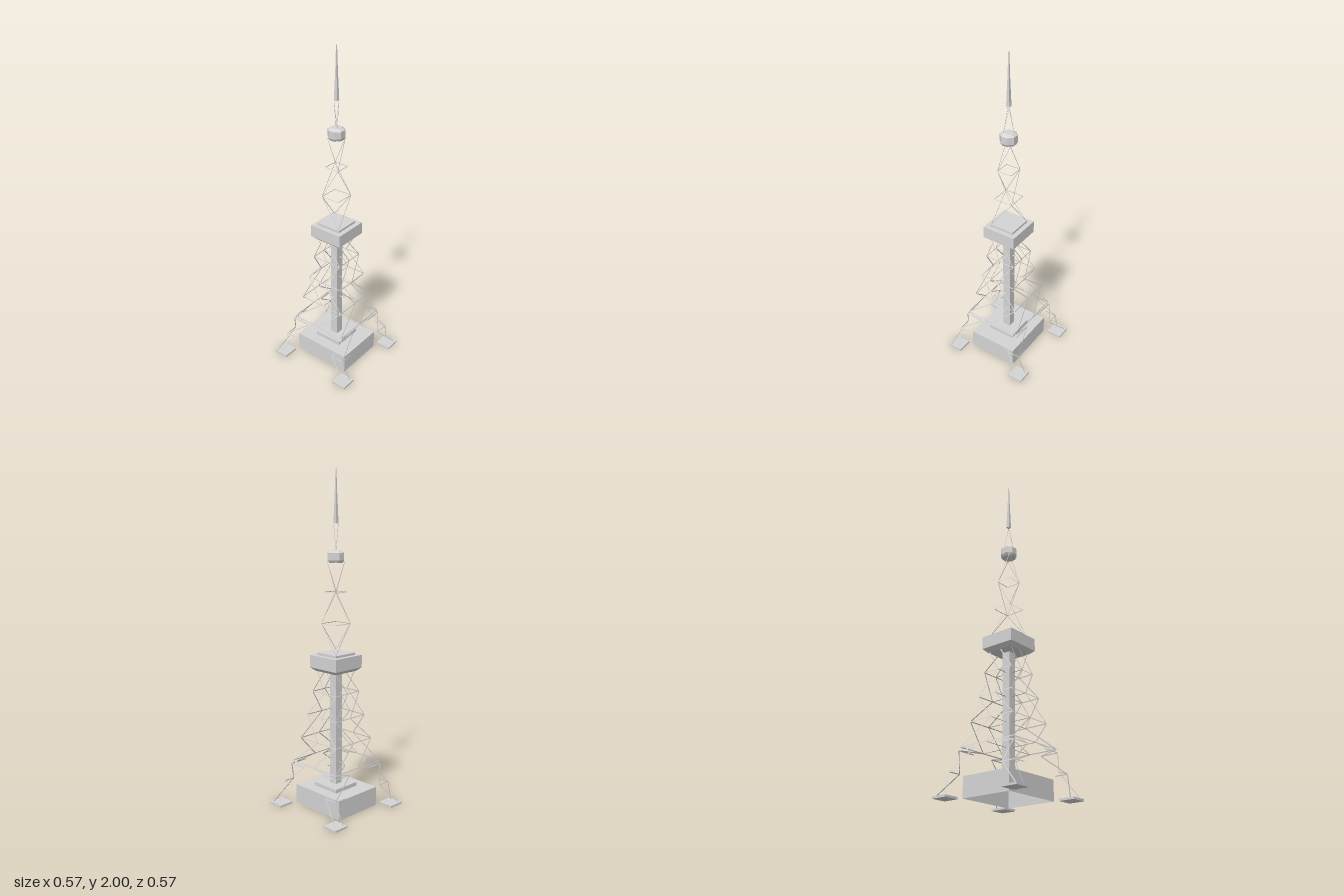
import * as THREE from 'three';
import { mergeGeometries } from 'three/addons/utils/BufferGeometryUtils.js';

const V = (x, y, z) => new THREE.Vector3(x, y, z);

// Flat steel strip from a to b, lying in the plane facing n
function strip(a, b, w, n = V(0, 0.25, 1)) {
  const along = b.clone().sub(a);
  const length = along.length();
  along.normalize();
  const across = n.clone().cross(along).normalize();
  const m = new THREE.Matrix4().makeBasis(along, across, along.clone().cross(across));
  m.setPosition(a.clone().add(b).multiplyScalar(0.5));
  return new THREE.PlaneGeometry(length, w).applyMatrix4(m);
}

export function createModel() {
  const model = new THREE.Group();
  const steel = new THREE.MeshStandardMaterial({ color: 0xd4d4d4, side: THREE.DoubleSide, flatShading: true });
  steel.name = 'pale grey';

  const add = (name, geometry) => {
    const mesh = new THREE.Mesh(geometry, steel);
    mesh.name = name;
    model.add(mesh);
    return mesh;
  };
  const block = (name, hx, hz, y0, y1) =>
    add(name, new THREE.BoxGeometry(hx * 2, y1 - y0, hz * 2).translate(0, (y0 + y1) / 2, 0));
  // Square tapering prism given half widths
  const taper = (name, low, high, y0, y1) =>
    add(name, new THREE.CylinderGeometry(high * Math.SQRT2, low * Math.SQRT2, y1 - y0, 4)
      .rotateY(Math.PI / 4).translate(0, (y0 + y1) / 2, 0));
  // Build the strips of each of the four sides and turn them into place
  const fourSides = (name, makeStrips) => {
    add(name, mergeGeometries([0, 1, 2, 3].map(k => mergeGeometries(makeStrips(k)).rotateY(k * Math.PI / 2))));
  };

  // Base building, open underneath
  const base = block('baseBuilding', 0.187, 0.158, 0, 0.117);
  const index = Array.from(base.geometry.index.array);
  index.splice(18, 6);
  base.geometry.setIndex(index);
  block('plinth', 0.09, 0.09, 0.117, 0.14);
  block('liftShaft', 0.025, 0.025, 0.14, 0.84);

  // Legs and tower: [height, outer corner, inner end]; the legs join at 0.28
  const stages = [
    [0.012, 0.27, 0.21], [0.143, 0.225, 0.145], [0.258, 0.19, 0.075], [0.278, 0.185, 0],
    [0.422, 0.149, 0], [0.568, 0.12, 0], [0.712, 0.097, 0], [0.845, 0.078, 0],
  ];
  fourSides('towerLattice', () => {
    const parts = [];
    stages.forEach(([y, c, a], i) => {
      const last = i === stages.length - 1;
      for (const s of [-1, 1]) {
        if (i > 0 && !last) parts.push(strip(V(s * c, y, c), V(s * a, y, c), 0.006));
        if (last) continue;
        // One brace per bay, zigzagging up between corner and inner end
        const [y2, c2, a2] = stages[i + 1];
        const fromCorner = (i % 2 === 0) === (s > 0);
        parts.push(strip(V(s * (fromCorner ? c : a), y, c), V(s * (fromCorner ? a2 : c2), y2, c2), 0.006));
      }
      // Tie from the ring to the shaft
      if (i > 2 && !last) parts.push(strip(V(0, y, c), V(0, y, 0.025), 0.007, V(0, 1, 0)));
    });
    return parts;
  });

  // Footing pads
  for (const sx of [-1, 1]) {
    for (const sz of [-1, 1]) {
      block('footingPad', 0.0475, 0.0475, 0, 0.012).position.set(sx * 0.237, 0, sz * 0.237);
    }
  }

  // Main observation deck
  taper('deckUnderside', 0.085, 0.108, 0.837, 0.858);
  block('observationDeck', 0.108, 0.108, 0.858, 0.933);
  block('deckRoof', 0.079, 0.079, 0.933, 0.947);

  // Mast lattice: one zigzag brace per side, alternating round the corners
  const mast = (name, levels, w) => fourSides(name, k => {
    const parts = [];
    levels.forEach(([y, h], i) => {
      if (i > 0) parts.push(strip(V(-h, y, h), V(h, y, h), w));
      if (i === levels.length - 1) return;
      const [y2, h2] = levels[i + 1];
      const s = (k + i) % 2 === 0 ? 1 : -1;
      parts.push(strip(V(s * h, y, h), V(-s * h2, y2, h2), w));
    });
    return parts;
  });
  mast('mastLattice', [[0.947, 0.073], [1.12, 0.06], [1.305, 0.046], [1.48, 0.035]], 0.004);
  mast('upperMastLattice', [[1.545, 0.02], [1.7, 0.01]], 0.003);

  // Eight-sided upper deck
  const profile = [[0, 1.475], [0.042, 1.475], [0.051, 1.49], [0.051, 1.533], [0.03, 1.546], [0, 1.547]];
  add('upperDeck', new THREE.LatheGeometry(profile.map(p => new THREE.Vector2(...p)), 8).rotateY(Math.PI / 8));

  // Antenna spire
  taper('spireLower', 0.0105, 0.005, 1.7, 1.87);
  taper('spireUpper', 0.005, 0.002, 1.87, 2);

  return model;
}
